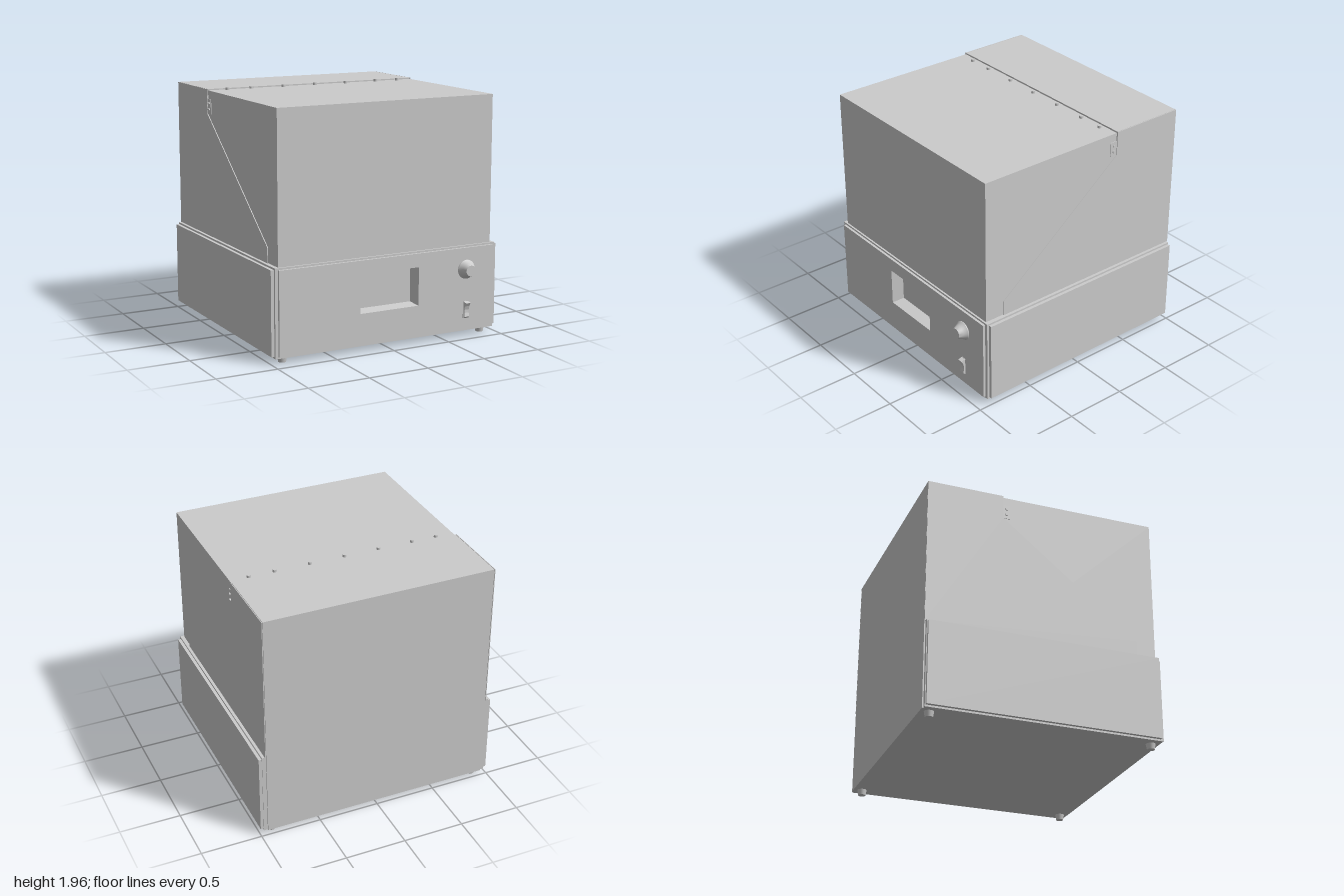
import * as THREE from 'three';
import { toCreasedNormals } from 'three/addons/utils/BufferGeometryUtils.js';

const material = new THREE.MeshStandardMaterial({ color: 0xcccccc, side: THREE.DoubleSide });

export function createModel() {
  const model = new THREE.Group();

  const add = (name, geometry, x = 0, y = 0, z = 0) => {
    const mesh = new THREE.Mesh(geometry, material);
    mesh.name = name;
    mesh.position.set(x, y, z);
    model.add(mesh);
    return mesh;
  };
  // Box given by its limits on each axis
  const box = (name, x0, x1, y0, y1, z0, z1) =>
    add(name, new THREE.BoxGeometry(x1 - x0, y1 - y0, z1 - z0),
      (x0 + x1) / 2, (y0 + y1) / 2, (z0 + z1) / 2);
  // Side profile of [z, y] points, extruded from x0 to x1
  const profile = (name, points, x0, x1) => {
    const shape = new THREE.Shape(points.map(([z, y]) => new THREE.Vector2(z, y)));
    const geometry = new THREE.ExtrudeGeometry(shape, { depth: x1 - x0, bevelEnabled: false });
    geometry.rotateY(-Math.PI / 2);
    return add(name, geometry, x1);
  };
  const rect = (Type, x0, x1, y0, y1) => new Type([
    new THREE.Vector2(x0, y0), new THREE.Vector2(x1, y0),
    new THREE.Vector2(x1, y1), new THREE.Vector2(x0, y1)]);
  // Front plate with the display opening
  const frontPlate = (name, x, y0, y1, z0, z1) => {
    const shape = rect(THREE.Shape, -x, x, y0, y1);
    shape.holes.push(rect(THREE.Path, -0.26, 0.26, 0.31, 0.62));
    add(name, new THREE.ExtrudeGeometry(shape, { depth: z1 - z0, bevelEnabled: false }), 0, 0, z0);
  };

  // Base with overlaid side and front panels
  box('baseCore', -0.975, 0.975, 0.045, 0.745, -0.99, 0.82);
  frontPlate('baseFront', 0.975, 0.045, 0.745, 0.82, 0.908);
  frontPlate('frontPanel', 0.95, 0.06, 0.73, 0.908, 0.928);

  // Tapered display recess and screen
  const recess = new THREE.CylinderGeometry(Math.SQRT1_2, Math.SQRT1_2, 1, 4, 1, true, Math.PI / 4);
  recess.rotateX(Math.PI / 2);
  const rp = recess.attributes.position;
  for (let i = 0; i < rp.count; i++) {
    const front = rp.getZ(i) > 0;
    rp.setXYZ(i, Math.sign(rp.getX(i)) * (front ? 0.26 : 0.24),
      Math.sign(rp.getY(i)) * (front ? 0.155 : 0.14), front ? 0.928 : 0.83);
  }
  add('displayRecess', toCreasedNormals(recess, 0.5), 0, 0.465, 0);
  box('displayScreen', -0.24, 0.24, 0.325, 0.605, 0.815, 0.83);

  // Rear housing, with a back panel running down behind the base
  box('rearHousing', -0.943, 0.943, 0.745, 1.947, -0.99, -0.383);
  box('backPanel', -0.943, 0.943, 0.045, 1.947, -1, -0.99);

  // Front lid
  box('lid', -0.942, 0.942, 0.745, 1.937, -0.379, 0.893);

  for (const s of [-1, 1]) {
    const span = (a, b) => (s > 0 ? [a, b] : [-b, -a]);
    box('sidePanel', ...span(0.975, 1), 0.06, 0.73, -0.985, 0.89);

    // Sloped side sheets overlap the lid
    profile('rearSideSheet', [[-1, 0.745], [0.73, 0.745], [0.73, 0.868],
      [-0.38, 1.75], [-0.38, 1.947], [-1, 1.947]], ...span(0.946, 0.952));

    // Hinge plate and its screws beside the top of the slope
    box('hingePlate', ...span(0.94, 0.947), 1.75, 1.87, -0.38, -0.32);
    for (const y of [1.785, 1.835]) {
      const screw = new THREE.CylinderGeometry(0.012, 0.012, 0.016, 12);
      screw.rotateZ(Math.PI / 2);
      add('hingeScrew', screw, s * 0.948, y, -0.35);
    }

    // Tapered feet
    for (const z of [0.845, -0.93])
      add('foot', new THREE.CylinderGeometry(0.038, 0.03, 0.045, 24), s * 0.89, 0.0225, z);
  }

  // Row of screws along the lid's rear edge
  for (const x of [-0.79, -0.58, -0.29, 0, 0.29, 0.58, 0.79])
    add('lidScrew', new THREE.CylinderGeometry(0.016, 0.016, 0.022, 16), x, 1.946, -0.338);

  // Control knob
  const knob = new THREE.LatheGeometry([[0, 0], [0.077, 0], [0.077, 0.006], [0.066, 0.02],
    [0.057, 0.04], [0.043, 0.072], [0, 0.072]].map(p => new THREE.Vector2(...p)), 32);
  knob.rotateX(Math.PI / 2);
  add('knob', toCreasedNormals(knob, 0.6), 0.7, 0.555, 0.928);

  // Rocker switch
  box('switchFrame', 0.675, 0.727, 0.155, 0.295, 0.92, 0.931);
  profile('switchRocker', [[0.92, 0.16], [0.935, 0.155], [0.95, 0.168], [0.942, 0.2],
    [0.941, 0.225], [0.95, 0.255], [0.966, 0.283], [0.932, 0.293], [0.92, 0.29]], 0.68, 0.722);

  return model;
}
